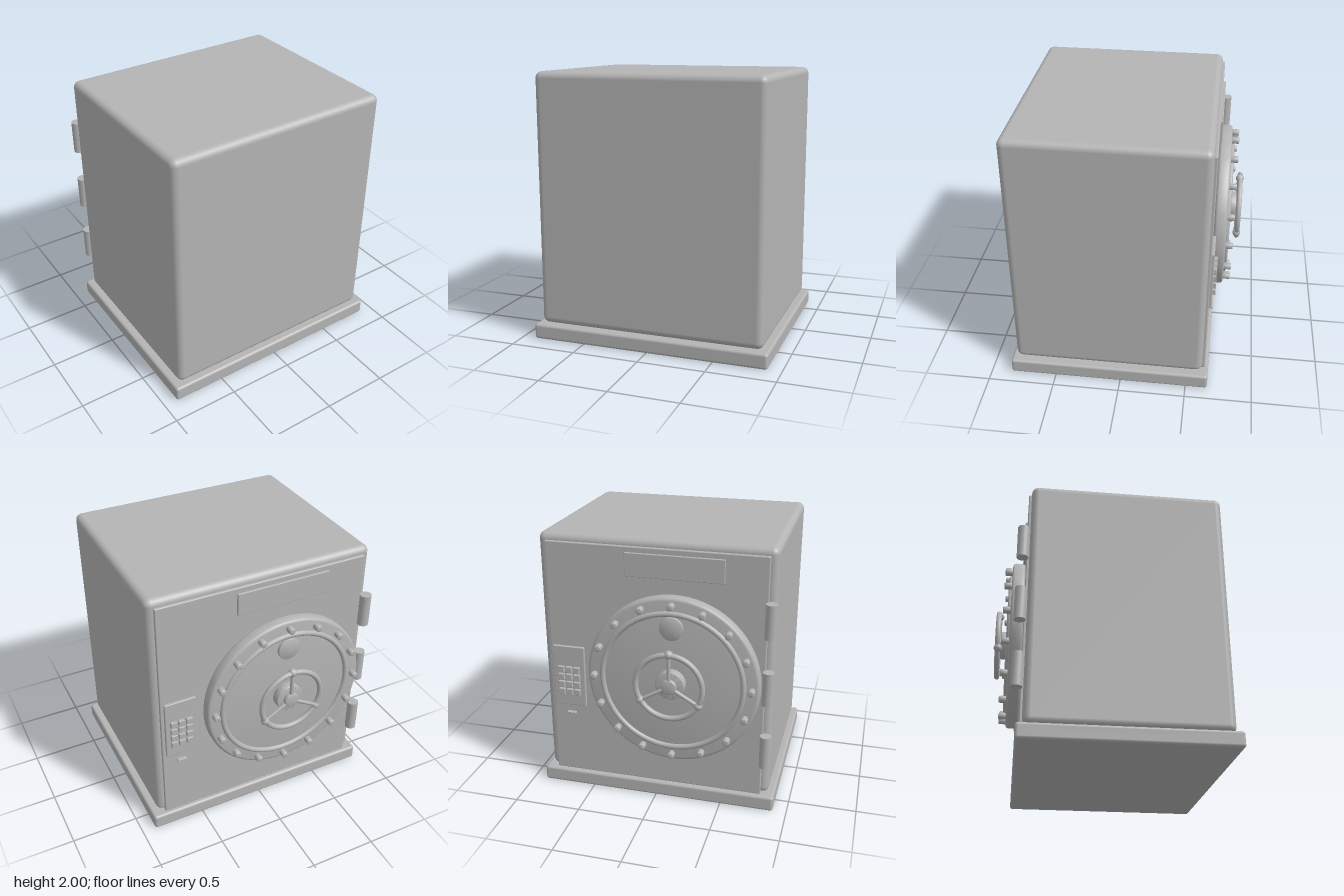
import * as THREE from 'three';
import { toCreasedNormals } from 'three/addons/utils/BufferGeometryUtils.js';
import { RoundedBoxGeometry } from 'three/addons/geometries/RoundedBoxGeometry.js';

export function createModel() {
  const model = new THREE.Group();
  model.name = 'vaultSafe';
  const steel = new THREE.MeshStandardMaterial({ color: 0xb4b4b4 });
  steel.name = 'grey steel';

  const add = (name, geometry, x, y, z, parent = model) => {
    const mesh = new THREE.Mesh(geometry, steel);
    mesh.name = name;
    mesh.position.set(x, y, z);
    parent.add(mesh);
    return mesh;
  };

  // Rounded block given by its limits on each axis
  const block = (name, [x0, x1], [y0, y1], [z0, z1], radius, parent) =>
    add(name, new RoundedBoxGeometry(x1 - x0, y1 - y0, z1 - z0, 4, radius),
      (x0 + x1) / 2, (y0 + y1) / 2, (z0 + z1) / 2, parent);

  // Lathed part whose axis points out of the door (-z)
  const turned = (points, segments = 48) => toCreasedNormals(
    new THREE.LatheGeometry(points.map(([r, h]) => new THREE.Vector2(r, h)), segments)
      .rotateX(-Math.PI / 2), 0.6);

  // Solid disc with rounded rims
  const disc = (r, h, b, segments) => {
    const points = [[0, 0]];
    for (let i = 0; i <= 4; i++) {
      const a = -Math.PI / 2 + i * Math.PI / 8;
      points.push([r - b + b * Math.cos(a), b + b * Math.sin(a)]);
    }
    for (let i = 0; i <= 4; i++) {
      const a = i * Math.PI / 8;
      points.push([r - b + b * Math.cos(a), h - b + b * Math.sin(a)]);
    }
    points.push([0, h]);
    return turned(points, segments);
  };

  // Cabinet and plinth
  block('plinth', [-0.9, 0.9], [0, 0.115], [-0.665, 0.845], 0.02);
  block('cabinet', [-0.855, 0.855], [0.118, 2], [-0.62, 0.81], 0.05);

  // Door slab and name plate
  block('doorPanel', [-0.8, 0.8], [0.12, 1.945], [-0.64, -0.6], 0.008);
  block('doorPlate', [-0.5, 0.21], [1.735, 1.905], [-0.657, -0.63], 0.004);

  // Hinges
  for (const y of [0.505, 1.005, 1.505]) {
    add('hinge', toCreasedNormals(new THREE.CylinderGeometry(0.042, 0.042, 0.25, 24), 0.6), -0.826, y, -0.668);
  }

  // Round vault hatch, built around its own centre
  const hatch = new THREE.Group();
  hatch.name = 'vaultHatch';
  hatch.position.set(-0.15, 1.003, 0);
  model.add(hatch);
  add('hatchDisc', disc(0.63, 0.095, 0.025, 72), 0, 0, -0.638, hatch);
  add('hatchRing', new THREE.TorusGeometry(0.515, 0.02, 12, 72), 0, 0, -0.735, hatch);
  add('dial', disc(0.085, 0.025, 0.003, 32), 0, 0.41, -0.73, hatch);

  // Sixteen bolts round the rim
  const boltGeometry = disc(0.025, 0.06, 0.007, 16);
  for (let i = 0; i < 16; i++) {
    const a = i * Math.PI / 8;
    add('bolt', boltGeometry, 0.575 * Math.cos(a), 0.575 * Math.sin(a), -0.726, hatch);
  }

  // Handwheel with three spokes
  const wheel = new THREE.Group();
  wheel.name = 'handwheel';
  hatch.add(wheel);
  add('hub', disc(0.105, 0.068, 0.006, 40), 0, 0, -0.73, wheel);
  add('hubCap', disc(0.055, 0.035, 0.008, 32), 0, 0, -0.795, wheel);
  add('wheelRim', new THREE.TorusGeometry(0.242, 0.02, 14, 56), 0, 0, -0.818, wheel);
  for (let i = 0; i < 3; i++) {
    const a = Math.PI / 2 + i * Math.PI * 2 / 3;
    const c = Math.cos(a), s = Math.sin(a);
    const spoke = add('spoke', new THREE.CylinderGeometry(0.014, 0.014, 0.24, 12), 0.12 * c, 0.12 * s, -0.815, wheel);
    spoke.rotation.z = a - Math.PI / 2;
    add('spokeKnob', new THREE.SphereGeometry(0.031, 18, 12), 0.245 * c, 0.245 * s, -0.814, wheel);
  }

  // Keypad with a three by four grid of keys and a small slot below
  block('keypad', [0.535, 0.775], [0.685, 1.16], [-0.66, -0.63], 0.006);
  for (let row = 0; row < 4; row++) {
    for (let col = 0; col < 3; col++) {
      const x = 0.595 + col * 0.06, y = 0.8 + row * 0.06;
      block('key', [x - 0.024, x + 0.024], [y - 0.024, y + 0.024], [-0.682, -0.655], 0.004);
    }
  }
  block('keypadSlot', [0.62, 0.69], [0.612, 0.626], [-0.668, -0.635], 0.003);

  return model;
}
